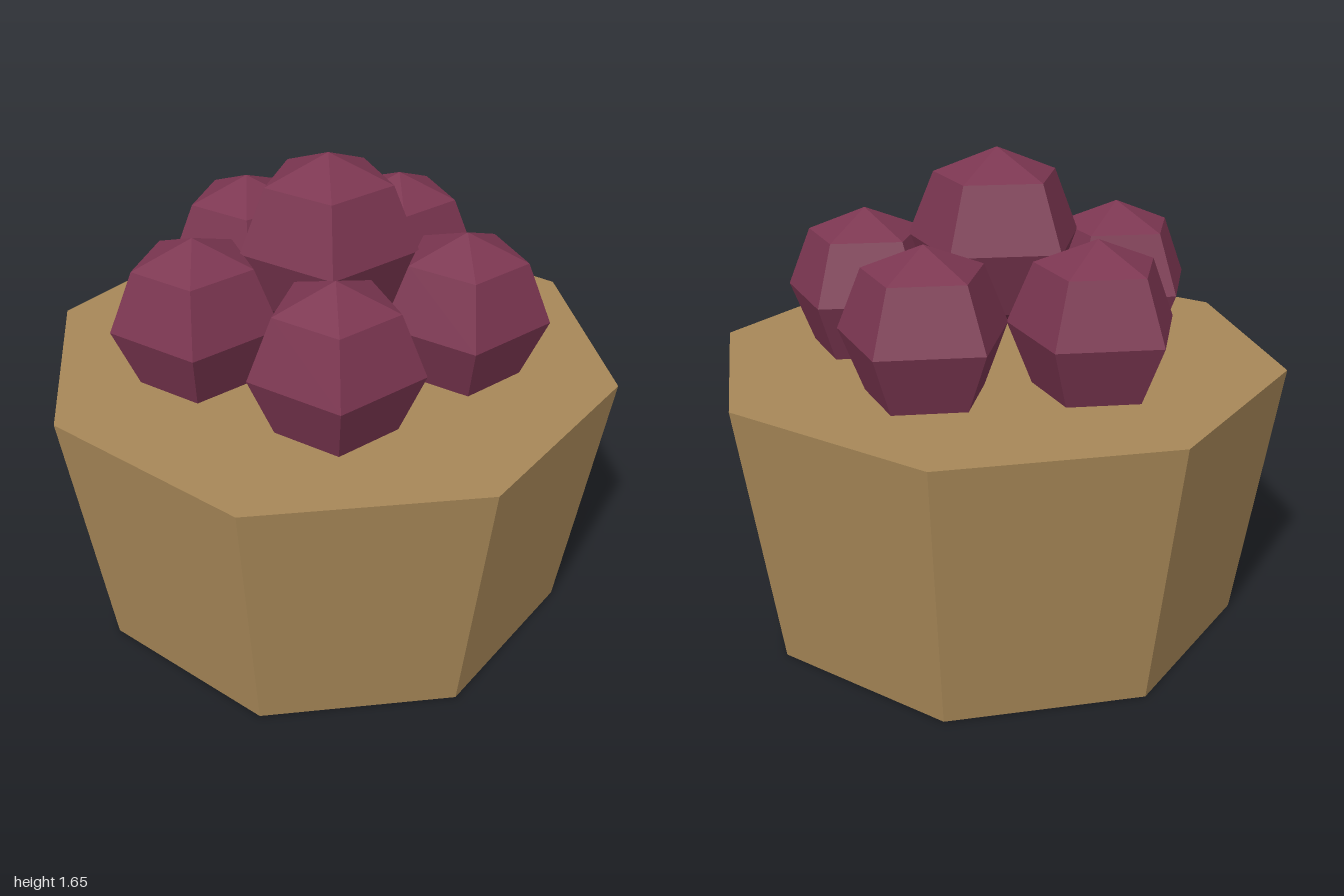
import * as THREE from 'three';

export function createModel() {
  const model = new THREE.Group();
  model.name = 'berryTart';

  const crustMaterial = new THREE.MeshStandardMaterial({ color: 0xa88858, flatShading: true });
  const berryMaterial = new THREE.MeshStandardMaterial({ color: 0x7c3651, flatShading: true });

  // Eight-sided crust, flaring towards the top
  const height = 0.935;
  const crust = new THREE.Mesh(new THREE.CylinderGeometry(1, 0.867, height, 8), crustMaterial);
  crust.name = 'crust';
  crust.position.y = height / 2;
  model.add(crust);

  // Five-sided low-poly berry with one corner towards +x
  function addBerry(name, radius, x, y, z) {
    const berry = new THREE.Mesh(new THREE.SphereGeometry(radius, 5, 4), berryMaterial);
    berry.name = name;
    berry.position.set(x, y, z);
    berry.rotation.y = Math.PI;
    model.add(berry);
  }

  // Ring of five berries half sunk into the crust
  const ringRadius = 0.465;
  for (let i = 0; i < 5; i++) {
    const angle = (i / 5) * Math.PI * 2;
    addBerry(`ringBerry${i + 1}`, 0.29, ringRadius * Math.cos(angle), 1.14, ringRadius * Math.sin(angle));
  }

  // Larger berry resting in the middle
  addBerry('topBerry', 0.31, 0, 1.345, 0);

  return model;
}
